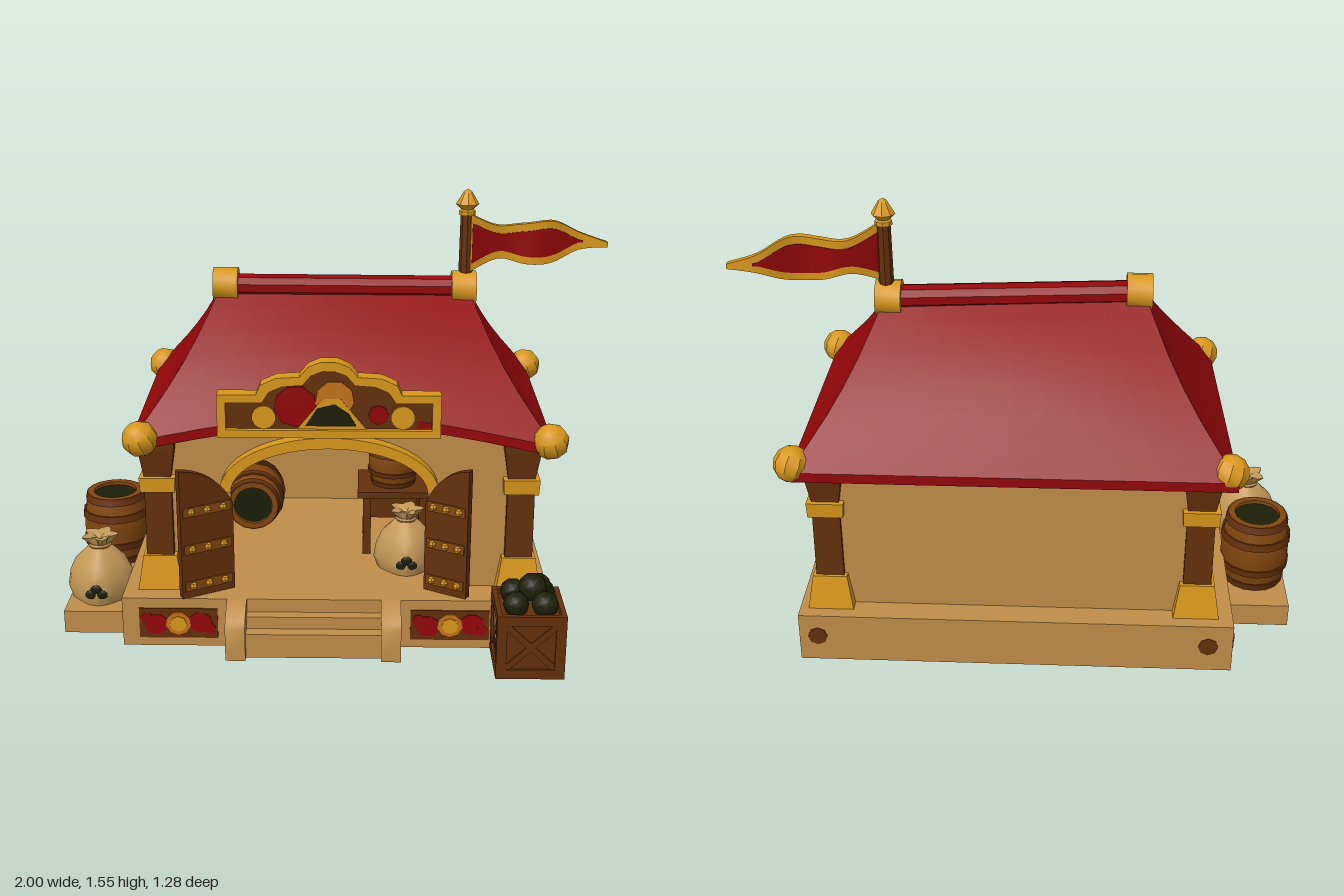
import * as THREE from 'three';
import { toCreasedNormals } from 'three/addons/utils/BufferGeometryUtils.js';

const mat = (name, hex, side = THREE.FrontSide) => {
  const m = new THREE.MeshStandardMaterial({ color: hex, side });
  m.name = name;
  return m;
};

export function createModel() {
  const M = {
    stone: mat('sandstone', 0xc08d49), gold: mat('gold', 0xd8971b), wood: mat('darkWood', 0x64300b),
    oak: mat('oak', 0x82460f), red: mat('red', 0x930609, THREE.DoubleSide), coal: mat('coal', 0x1c1e08),
    orange: mat('orange', 0xc67218), sack: mat('sackcloth', 0xc49857),
  };
  const root = new THREE.Group();
  root.name = 'shopHouse';

  const add = (parent, name, geo, m, x = 0, y = 0, z = 0) => {
    const mesh = new THREE.Mesh(toCreasedNormals(geo, 0.6), m);
    mesh.name = name;
    mesh.position.set(x, y, z);
    parent.add(mesh);
    return mesh;
  };
  const group = (name, x, y, z, ry = 0) => {
    const g = new THREE.Group();
    g.name = name;
    g.position.set(x, y, z);
    g.rotation.y = ry;
    root.add(g);
    return g;
  };
  // box given by its minimum and maximum corners
  const box = (p, name, m, x0, x1, y0, y1, z0, z1) =>
    add(p, name, new THREE.BoxGeometry(x1 - x0, y1 - y0, z1 - z0), m, (x0 + x1) / 2, (y0 + y1) / 2, (z0 + z1) / 2);
  const taper = (w0, w1, h) => new THREE.CylinderGeometry(w1 / Math.SQRT2, w0 / Math.SQRT2, h, 4).rotateY(Math.PI / 4);
  const disc = (r, sides = 14) => new THREE.CylinderGeometry(r, r, 0.006, sides).rotateX(Math.PI / 2);
  const V2 = pts => pts.map(p => new THREE.Vector2(...p));
  const lathe = (pts, n = 16) => new THREE.LatheGeometry(V2(pts), n);
  const extrude = (shape, depth) => new THREE.ExtrudeGeometry(shape, { depth, bevelEnabled: false, curveSegments: 16 });
  // half-ellipse band standing on y = 0
  const archBand = (a, h, t, depth) => {
    const s = new THREE.Shape();
    s.moveTo(a, 0);
    s.absellipse(0, 0, a, h, 0, Math.PI, false, 0);
    s.lineTo(-a + t, 0);
    s.absellipse(0, 0, a - t, h - t, Math.PI, 0, true, 0);
    return extrude(s, depth);
  };
  const indexed = (pos, idx) => {
    const g = new THREE.BufferGeometry();
    g.setAttribute('position', new THREE.Float32BufferAttribute(pos, 3));
    g.setIndex(idx);
    return g;
  };

  // Foundation, side ledge and front steps
  box(root, 'foundation', M.stone, -0.755, 0.765, 0, 0.185, -0.64, 0.42);
  box(root, 'sideLedge', M.stone, -0.985, -0.75, 0, 0.085, -0.37, 0.33);
  box(root, 'lowerStep', M.stone, -0.32, 0.18, 0, 0.09, 0.41, 0.505);
  box(root, 'upperStep', M.stone, -0.32, 0.18, 0, 0.135, 0.41, 0.46);
  const cheek = new THREE.Shape(V2([[0.41, 0], [0.53, 0], [0.53, 0.12], [0.515, 0.145], [0.44, 0.185], [0.41, 0.185]]));
  for (const x of [-0.31, 0.235]) add(root, 'stepCheek', extrude(cheek, 0.07).rotateY(-Math.PI / 2), M.stone, x);

  // Painted panels on the foundation
  const panel = (x, z, ry, w) => {
    const g = group('paintedPanel', x, 0.09, z, ry);
    add(g, 'panelBoard', new THREE.BoxGeometry(w, 0.115, 0.008), M.wood);
    for (const s of [-1, 1]) {
      add(g, 'redBlot', disc(0.04, 9), M.red, s * w * 0.28, 0.004 * s, 0.004).scale.x = 1.1;
      add(g, 'redBlot', disc(0.022, 7), M.red, s * w * 0.4, -0.02 * s, 0.0045);
    }
    add(g, 'orangeRosette', disc(0.046, 9), M.orange, 0, 0, 0.006);
    add(g, 'goldRosette', disc(0.03, 8), M.gold, 0, 0, 0.009);
  };
  panel(-0.555, 0.42, 0, 0.28);
  panel(0.41, 0.42, 0, 0.28);
  for (const z of [0.205, -0.115, -0.435]) panel(0.765, z, Math.PI / 2, z === 0.205 ? 0.24 : 0.28);
  panel(-0.755, -0.5, -Math.PI / 2, 0.22);
  for (const x of [-0.67, 0.7]) add(root, 'backBlot', disc(0.035, 8), M.wood, x, 0.1, -0.64);

  // Walls, with an arched doorway in front
  const W = -0.02, front = new THREE.Shape();
  front.moveTo(-0.63, 0.18);
  front.lineTo(W - 0.35, 0.18);
  front.lineTo(W - 0.35, 0.56);
  front.absellipse(W, 0.56, 0.35, 0.17, Math.PI, 0, true, 0);
  front.lineTo(W + 0.35, 0.18);
  for (const [x, y] of [[0.65, 0.18], [0.65, 0.74], [0.36, 0.83], [-0.4, 0.83], [-0.63, 0.74]]) front.lineTo(x, y);
  add(root, 'frontWall', extrude(front, 0.03), M.stone, 0, 0, 0.265);
  box(root, 'backWall', M.stone, -0.64, 0.66, 0.18, 0.77, -0.55, -0.52);
  box(root, 'leftWall', M.stone, -0.645, -0.615, 0.18, 0.77, -0.53, 0.28);
  box(root, 'rightWall', M.stone, 0.645, 0.675, 0.18, 0.77, -0.53, 0.28);
  add(root, 'doorArch', archBand(0.385, 0.205, 0.04, 0.055), M.gold, W, 0.56, 0.29);

  // Corner posts
  for (const x of [-0.625, 0.655]) for (const z of [0.27, -0.515]) {
    const g = group('cornerPost', x, 0, z);
    add(g, 'postBase', taper(0.16, 0.12, 0.125), M.gold, 0, 0.247, 0);
    add(g, 'postShaft', taper(0.098, 0.095, 0.36), M.wood, 0, 0.47, 0);
    add(g, 'postCollar', taper(0.122, 0.128, 0.055), M.gold, 0, 0.58, 0);
    add(g, 'postCapital', taper(0.098, 0.128, 0.1), M.wood, 0, 0.665, 0);
    add(g, 'postTop', taper(0.128, 0.128, 0.04), M.wood, 0, 0.73, 0);
  }

  // Side windows
  for (const [x, ry] of [[0.675, Math.PI / 2], [-0.645, -Math.PI / 2]]) {
    const g = group('sideWindow', x, 0, -0.085, ry);
    const pane = new THREE.Shape(V2([[-0.115, 0.42], [0.115, 0.42], [0.115, 0.53]]));
    pane.absellipse(0, 0.53, 0.115, 0.075, 0, Math.PI, false, 0);
    add(g, 'windowPane', extrude(pane, 0.006), M.coal);
    add(g, 'windowArch', archBand(0.14, 0.095, 0.03, 0.03), M.gold, 0, 0.535, 0);
    box(g, 'windowSill', M.gold, -0.14, 0.14, 0.395, 0.422, 0, 0.035);
  }

  // Roof: four sagging patches that meet along the hips
  const P = (x, y, z) => new THREE.Vector3(x, y, z);
  const FL = P(-0.71, 0.75, 0.36), FR = P(0.755, 0.75, 0.38), BR = P(0.76, 0.75, -0.615), BL = P(-0.735, 0.75, -0.615);
  const RL = P(-0.42, 1.21, -0.09), RR = P(0.48, 1.19, -0.135);
  const hip = (a, r, v) => {
    const p = a.clone().lerp(r, v), s = Math.sin(Math.PI * v);
    p.x -= Math.sign(a.x) * 0.025 * s;
    p.z += Math.sign(a.z) * 0.035 * s;
    return p;
  };
  const roofPatch = (name, A, B, C, D, lift, bulge) => {
    const n = 12, rows = [-2, -1, 0, 1, 2, 3, 4, 5, 6], pos = [], idx = [];
    rows.forEach((r, j) => {
      const v = Math.max(r, 0) / 6;
      for (let i = 0; i <= n; i++) {
        const u = i / n, s = Math.sin(Math.PI * u);
        const p = hip(A, C, v).lerp(hip(B, D, v), u);
        p.y += lift * s * (1 - v) ** 2 + bulge * s * Math.sin(Math.PI * v);
        if (lift) p.z -= 0.04 * s * (1 - v);
        if (r < 0) p.y -= 0.035;
        if (r < -1) { p.x *= 0.88; p.z = (p.z + 0.12) * 0.82 - 0.12; }
        pos.push(p.x, p.y, p.z);
        if (i < n && j < rows.length - 1) {
          const a = j * (n + 1) + i, d = a + n + 1;
          idx.push(a, a + 1, d + 1, a, d + 1, d);
        }
      }
    });
    add(root, name, indexed(pos, idx), M.red);
  };
  roofPatch('frontRoof', FL, FR, RL, RR, 0.09, 0.01);
  roofPatch('rightRoof', FR, BR, RR, RR, 0, -0.015);
  roofPatch('backRoof', BR, BL, RR, RL, 0, 0.02);
  roofPatch('leftRoof', BL, FL, RL, RL, 0, -0.015);
  for (const [x, z] of [[-0.675, 0.35], [0.745, 0.35], [0.755, -0.57], [-0.71, -0.56]]) {
    const knob = add(root, 'cornerKnob', new THREE.SphereGeometry(0.064, 9, 6), M.gold, x, 0.76, z);
    knob.rotation.set(0.3, 0.4, 0.3);
  }
  const ridge = new THREE.LineCurve3(P(-0.4, 1.2, -0.09), P(0.46, 1.185, -0.135));
  add(root, 'ridgeRoll', new THREE.TubeGeometry(ridge, 1, 0.045, 10), M.red);
  for (const [x, y, z] of [[-0.405, 1.205, -0.09], [0.465, 1.185, -0.135]])
    add(root, 'ridgeCap', new THREE.CylinderGeometry(0.064, 0.064, 0.09, 12).rotateZ(Math.PI / 2), M.gold, x, y, z);

  // Flag: rectangular sections lofted along a waving path
  add(root, 'flagPole', new THREE.CylinderGeometry(0.024, 0.027, 0.25, 8), M.wood, 0.472, 1.345, -0.14);
  add(root, 'poleFinial', lathe([[0, 0], [0.03, 0], [0.03, 0.015], [0.022, 0.02], [0.042, 0.04], [0.015, 0.085], [0, 0.095]], 8),
    M.gold, 0.472, 1.455, -0.14);
  const flagTop = new THREE.SplineCurve(V2([[0.485, 1.46], [0.588, 1.412], [0.691, 1.418], [0.794, 1.425], [0.897, 1.375], [1, 1.34]]));
  const flagLow = new THREE.SplineCurve(V2([[0.485, 1.25], [0.588, 1.29], [0.691, 1.268], [0.794, 1.272], [0.897, 1.312], [1, 1.322]]));
  const flag = (name, m, u0, u1, inset, t) => {
    const n = 24, pos = [], idx = [0, 1, 2, 0, 2, 3];
    for (let i = 0; i <= n; i++) {
      const u = u0 + (u1 - u0) * i / n, a = flagTop.getPoint(u), b = flagLow.getPoint(u);
      const z = -0.14 - 0.098 * u - 0.014 * Math.sin(u * 12 - 1.5);
      const mid = (a.y + b.y) / 2, h = Math.max((a.y - b.y) / 2 - inset, 0.004);
      pos.push(a.x, mid + h, z + t, a.x, mid + h, z - t, a.x, mid - h, z - t, a.x, mid - h, z + t);
      if (i < n) for (let k = 0; k < 4; k++) {
        const p = i * 4 + k, q = i * 4 + (k + 1) % 4;
        idx.push(p, p + 4, q + 4, p, q + 4, q);
      }
    }
    const e = n * 4;
    idx.push(e, e + 2, e + 1, e, e + 3, e + 2);
    add(root, name, indexed(pos, idx), m);
  };
  flag('flagBorder', M.gold, 0, 1, 0, 0.013);
  flag('flagCloth', M.red, 0.02, 0.82, 0.028, 0.017);

  // Sign board over the door
  const sign = group('signBoard', W, 0, 0.3);
  const half = [[0.385, 0.77], [0.385, 0.925], [0.25, 0.925], [0.235, 0.96], [0.18, 0.985], [0.1, 0.99], [0.07, 1.025], [0.03, 1.042]];
  const both = h => V2([...h, ...h.map(([x, y]) => [-x, y]).reverse()]);
  const inner = [[0.355, 0.798], [0.355, 0.897], [0.23, 0.897], [0.205, 0.935], [0.16, 0.955], [0.09, 0.96], [0.06, 0.995], [0.02, 1.01]];
  const frame = new THREE.Shape(both(half));
  frame.holes.push(new THREE.Path(both(inner)));
  add(sign, 'signFrame', extrude(frame, 0.06), M.gold);
  add(sign, 'signPanel', extrude(new THREE.Shape(both(inner)), 0.035), M.wood, 0, 0, 0.005);
  for (const x of [-0.225, 0.255]) add(sign, 'goldSpot', disc(0.042), M.gold, x, 0.84, 0.043);
  add(sign, 'redSpot', disc(0.075, 9), M.red, -0.115, 0.88, 0.042);
  add(sign, 'redSpot', disc(0.035, 8), M.red, 0.17, 0.85, 0.042);
  add(sign, 'orangeSunburst', disc(0.068, 9), M.orange, 0.02, 0.905, 0.046);
  add(sign, 'goldMound', extrude(new THREE.Shape(V2([[-0.11, 0.8], [0.13, 0.8], [0.04, 0.91], [-0.02, 0.91]])), 0.004), M.gold, 0, 0, 0.047);
  add(sign, 'coalMound', extrude(new THREE.Shape(V2([[-0.08, 0.812], [0.095, 0.812], [0.07, 0.855], [0.02, 0.89], [-0.04, 0.875]])), 0.004), M.coal, 0, 0, 0.05);

  // Open doors, taller at the free edge
  for (const [name, x, ry, w] of [['rightDoor', -0.365, -2.63, 0.2], ['leftDoor', 0.325, -0.51, 0.165]]) {
    const g = group(name, x, 0.195, 0.335, ry);
    const leaf = new THREE.Shape();
    leaf.moveTo(0, 0);
    leaf.lineTo(w, 0);
    leaf.lineTo(w, 0.48);
    leaf.quadraticCurveTo(w * 0.3, 0.46, 0, 0.33);
    add(g, 'doorLeaf', extrude(leaf, 0.03), M.wood, 0, 0, -0.015);
    for (const y of [0.045, 0.185, 0.325]) {
      box(g, 'doorStrap', M.oak, 0.01, w - 0.01, y - 0.018, y + 0.018, -0.02, 0.02);
      for (const u of [0.2, 0.5, 0.8]) for (const s of [-1, 1])
        add(g, 'doorStud', new THREE.SphereGeometry(0.014, 6, 4), M.gold, u * w, y, s * 0.021);
    }
  }

  // Barrels
  const barrel = (x, y, z, r, h) => {
    const g = group('barrel', x, y, z);
    const R = t => r * (0.82 + 0.18 * Math.sin(Math.PI * t));
    add(g, 'staves', lathe([[0, 0], ...[0, 0.2, 0.4, 0.6, 0.8, 1].map(t => [R(t), t * h]), [R(1) * 0.8, h], [R(1) * 0.8, h - 0.02], [0, h - 0.02]]), M.oak);
    for (const [a, b] of [[0, 0.1], [0.24, 0.34], [0.66, 0.76], [0.9, 1]])
      add(g, 'hoop', lathe([[R(a), a * h], [R(a) + 0.006, a * h], [R(b) + 0.006, b * h], [R(b), b * h]]), M.wood);
    add(g, 'barrelFill', new THREE.CylinderGeometry(R(1) * 0.78, R(1) * 0.78, 0.006, 16), M.coal, 0, h - 0.015, 0);
    return g;
  };
  barrel(-0.87, 0.085, -0.17, 0.126, 0.275);
  barrel(0.215, 0.44, -0.08, 0.094, 0.18);
  barrel(-0.33, 0.3, -0.41, 0.115, 0.25).rotation.x = Math.PI / 2;

  // Sacks: squarish body, scalloped mouth and a coal mark
  const sack = (x, y, z, k) => {
    const g = group('sack', x, y, z);
    g.scale.setScalar(k);
    const body = lathe([[0, 0], [0.105, 0], [0.118, 0.04], [0.108, 0.1], [0.088, 0.145], [0.05, 0.185], [0.032, 0.2], [0.058, 0.24], [0.03, 0.235], [0, 0.215]], 20);
    const p = body.attributes.position;
    for (let i = 0; i < p.count; i++) {
      const a = Math.atan2(p.getZ(i), p.getX(i));
      const f = p.getY(i) > 0.205 ? 1 + 0.25 * Math.cos(5 * a) : 1 + 0.07 * Math.cos(4 * a);
      p.setX(i, p.getX(i) * f);
      p.setZ(i, p.getZ(i) * f);
    }
    add(g, 'sackBody', body, M.sack);
    add(g, 'sackTie', new THREE.TorusGeometry(0.034, 0.009, 6, 12).rotateX(Math.PI / 2), M.stone, 0, 0.2, 0);
    for (const [dx, dy] of [[-0.02, 0.05], [0.02, 0.05], [0, 0.07]])
      add(g, 'coalMark', new THREE.SphereGeometry(0.022, 8, 5).scale(1, 0.8, 0.3), M.coal, dx, dy, 0.121);
  };
  sack(-0.87, 0.085, 0.175, 1);
  sack(0.26, 0.185, 0.12, 0.95);

  // Table inside
  box(root, 'tableTop', M.wood, 0.08, 0.36, 0.415, 0.44, -0.2, 0.04);
  box(root, 'tableBack', M.wood, 0.1, 0.34, 0.25, 0.36, -0.19, -0.17);
  for (const x of [0.1, 0.31]) for (const z of [-0.19, 0]) box(root, 'tableLeg', M.wood, x, x + 0.03, 0.185, 0.415, z, z + 0.03);

  // Crate of coal
  const crate = group('crate', 0.6725, 0, 0.52);
  box(crate, 'crateBox', M.wood, -0.108, 0.108, 0, 0.215, -0.11, 0.11);
  for (let i = 0; i < 4; i++) {
    const side = new THREE.Group();
    side.name = 'crateSide';
    side.rotation.y = i * Math.PI / 2;
    crate.add(side);
    for (const s of [-1, 1]) {
      box(side, 'crateUpright', M.wood, s * 0.1 - 0.017, s * 0.1 + 0.017, 0, 0.235, 0.1, 0.118);
      box(side, 'crateRail', M.wood, -0.1, 0.1, s * 0.1 + 0.1, s * 0.1 + 0.135, 0.1, 0.118);
      add(side, 'crateBrace', new THREE.BoxGeometry(0.23, 0.022, 0.012), M.wood, 0, 0.117, 0.109).rotation.z = s * 0.76;
    }
  }
  for (const [x, y, z, r] of [[-0.05, 0.25, 0.05, 0.045], [0.05, 0.25, 0.05, 0.047], [-0.05, 0.25, -0.05, 0.046], [0.05, 0.25, -0.05, 0.045],
    [0.01, 0.29, 0, 0.05], [0.035, 0.275, -0.04, 0.046]])
    add(crate, 'coalLump', new THREE.IcosahedronGeometry(r, 1), M.coal, x, y, z);

  return root;
}
